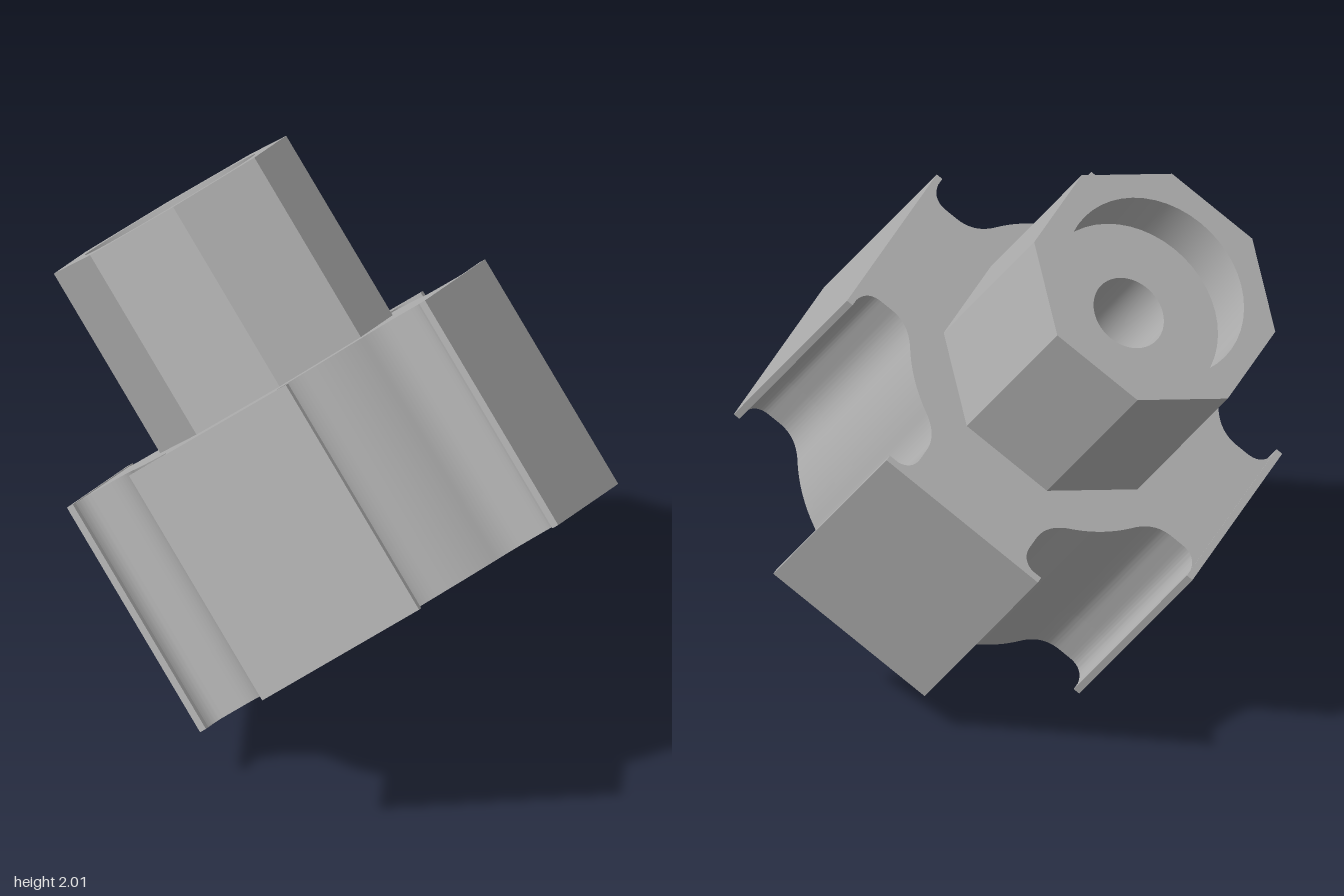
import * as THREE from 'three';
import { toCreasedNormals } from 'three/addons/utils/BufferGeometryUtils.js';

const BODY_R = 0.57, BORE_R = 0.33, HOLE_R = 0.13, STEM_R = 0.45;

// Round hub outline with four filleted necks that flare towards the pads
function hubOutline() {
  const s = new THREE.Shape();
  for (let k = 0; k < 4; k++) {
    const q = k * Math.PI / 2, c = Math.cos(q), n = Math.sin(q);
    const p = (x, y) => [x * c - y * n, x * n + y * c];
    const a = THREE.MathUtils.degToRad(33);
    const fx = BODY_R * Math.cos(a), fy = BODY_R * Math.sin(a);
    if (k === 0) s.moveTo(...p(fx, -fy));
    s.quadraticCurveTo(...p(0.527, -0.235), ...p(0.6, -0.235));
    s.lineTo(...p(0.645, -0.235));
    s.quadraticCurveTo(...p(0.715, -0.235), ...p(0.72, -0.315));
    s.lineTo(...p(0.72, 0.315));
    s.quadraticCurveTo(...p(0.715, 0.235), ...p(0.645, 0.235));
    s.lineTo(...p(0.6, 0.235));
    s.quadraticCurveTo(...p(0.527, 0.235), ...p(fx, fy));
    s.absarc(0, 0, BODY_R, q + a, q + Math.PI / 2 - a, false);
  }
  return s;
}

function octagonOutline() {
  const s = new THREE.Shape();
  for (let i = 0; i < 8; i++) {
    const a = (i + 0.5) * Math.PI / 4;
    s[i ? 'lineTo' : 'moveTo'](STEM_R * Math.cos(a), STEM_R * Math.sin(a));
  }
  s.closePath();
  return s;
}

// Extrude an outline with a round hole between two heights along the axis
function section(outline, holeR, from, to) {
  outline.holes.push(new THREE.Path().absarc(0, 0, holeR, 0, Math.PI * 2, true));
  const g = new THREE.ExtrudeGeometry(outline, { depth: to - from, bevelEnabled: false, curveSegments: 24 });
  g.translate(0, 0, from);
  return toCreasedNormals(g, 0.6);
}

export function createModel() {
  const grey = new THREE.MeshStandardMaterial({ color: 0xb0b0b0 });
  grey.name = 'plain grey';
  const model = new THREE.Group();
  model.name = 'fitting';
  const tilted = new THREE.Group();
  tilted.name = 'tiltedFitting';
  model.add(tilted);

  const add = (name, geometry) => {
    const m = new THREE.Mesh(geometry, grey);
    m.name = name;
    tilted.add(m);
    return m;
  };

  // Hub: wide bore below, narrow hole above
  add('hubLower', section(hubOutline(), BORE_R, 0.005, 0.215));
  add('hubUpper', section(hubOutline(), HOLE_R, 0.215, 0.87));

  // Octagonal stem: narrow hole, then a wide recess at the end
  add('stemLower', section(octagonOutline(), HOLE_R, 0.87, 1.365));
  add('stemRim', section(octagonOutline(), BORE_R, 1.365, 1.565));

  // Four square pads with thin overhanging edges
  for (let k = 0; k < 4; k++) {
    const a = k * Math.PI / 2;
    const pad = add('pad' + (k + 1), new THREE.BoxGeometry(0.024, 0.65, 0.87));
    pad.position.set(0.73 * Math.cos(a), 0.73 * Math.sin(a), 0.438);
    pad.rotation.z = a;
  }

  // Lean the axis up and back, with one pad facing up, left and forward
  const axis = new THREE.Vector3(-0.135, 0.762, -0.634).normalize();
  const side = new THREE.Vector3().crossVectors(axis, new THREE.Vector3(0.555, 0.59, 0.586)).normalize();
  const out = new THREE.Vector3().crossVectors(side, axis);
  tilted.quaternion.setFromRotationMatrix(new THREE.Matrix4().makeBasis(out, side, axis));
  tilted.position.set(0.055, 0.52, 0.36);
  return model;
}
